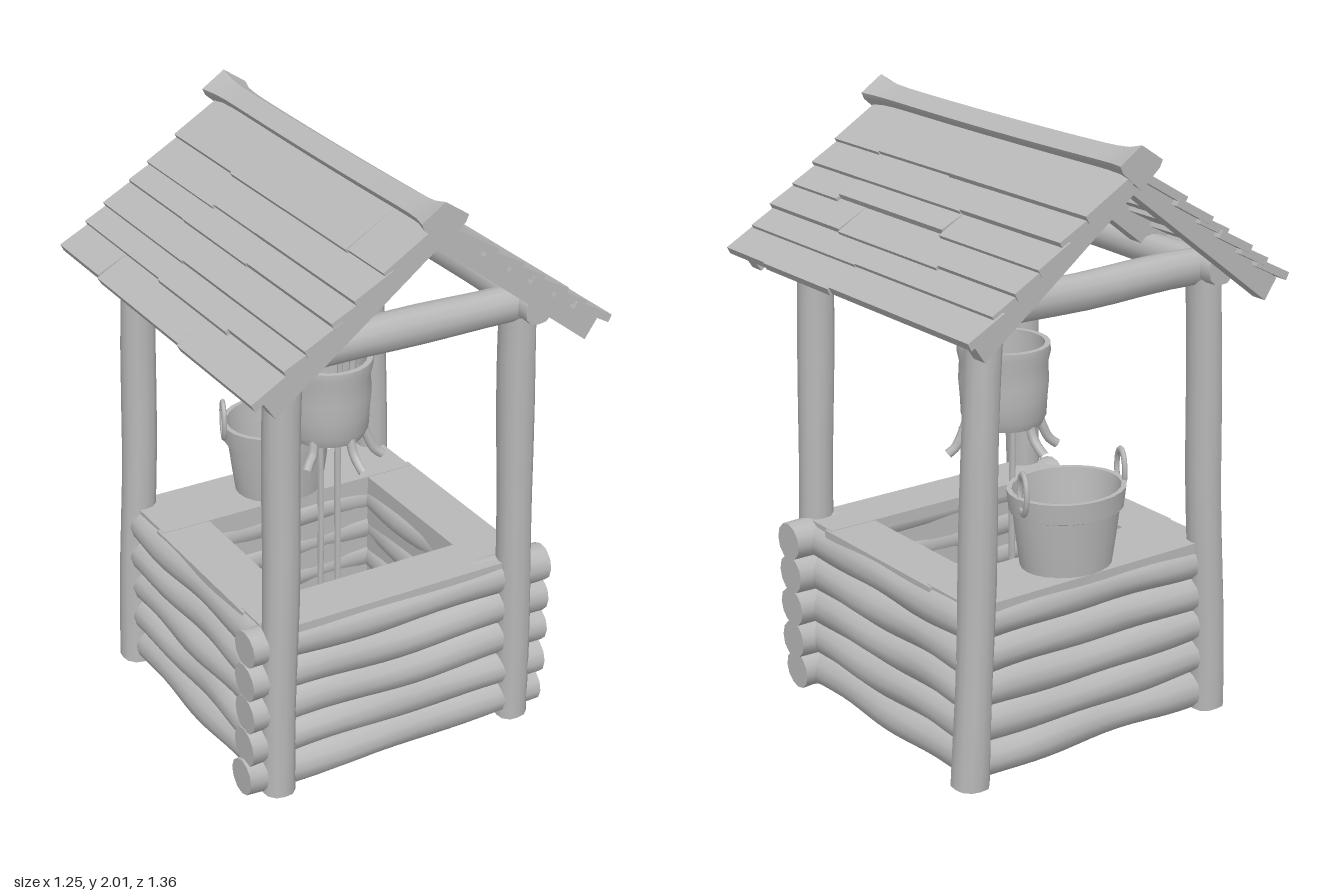
import * as THREE from 'three';
import { mergeVertices, toCreasedNormals } from 'three/addons/utils/BufferGeometryUtils.js';

const wood = new THREE.MeshStandardMaterial({ color: 0xb8b8b8 });
wood.name = 'plain grey';
const V = (x, y, z) => new THREE.Vector3(x, y, z);

let seed = 7;
const rand = () => (seed = (seed * 16807) % 2147483647) / 2147483647;

function add(parent, name, geo) {
  const mesh = new THREE.Mesh(geo, wood);
  mesh.name = name;
  parent.add(mesh);
  return mesh;
}

// weld, then keep only the hard edges sharp
function finish(geo, crease = 0.9) {
  geo.deleteAttribute('uv');
  geo.deleteAttribute('normal');
  return toCreasedNormals(mergeVertices(geo, 1e-4), crease);
}

// uneven hewn log from a to b; square > 0 makes the section boxier
function log(parent, name, a, b, r0, r1 = r0, { square = 0, bump = 0.06, sides = 12, steps = 9 } = {}) {
  const len = a.distanceTo(b), ph = rand() * 6;
  const geo = new THREE.CylinderGeometry(1, 1, len, sides, steps);
  const p = geo.attributes.position;
  for (let i = 0; i < p.count; i++) {
    const t = p.getY(i) / len + 0.5, x = p.getX(i), z = p.getZ(i), ang = Math.atan2(z, x);
    const box = 1 + square * (1 / Math.max(Math.abs(Math.cos(ang)), Math.abs(Math.sin(ang))) - 1);
    const r = (r0 + (r1 - r0) * t) * box * (1 + bump * Math.sin(t * 11 + ph + 2 * Math.cos(ang - ph)));
    const sway = bump * r0 * 1.2 * Math.sin(t * 7 + ph);
    p.setXYZ(i, x * r + sway, p.getY(i), z * r);
  }
  const mesh = add(parent, name, finish(geo));
  mesh.position.copy(a).lerp(b, 0.5);
  mesh.quaternion.setFromUnitVectors(V(0, 1, 0), b.clone().sub(a).normalize());
  return mesh;
}

const rope = (parent, name, pts, r, seg = 16) =>
  add(parent, name, new THREE.TubeGeometry(new THREE.CatmullRomCurve3(pts), seg, r, 7));

// flat board following a sloped line in x-y, its top on the line
function slab(parent, name, x0, y0, x1, y1, thick, z0, z1) {
  const ang = Math.atan2(y1 - y0, x1 - x0), len = Math.hypot(x1 - x0, y1 - y0);
  const geo = new THREE.BoxGeometry(len, thick, z1 - z0);
  geo.translate(len / 2, -thick / 2, 0);
  const mesh = add(parent, name, geo);
  mesh.position.set(x0, y0, (z0 + z1) / 2);
  mesh.rotation.z = ang;
  return mesh;
}

function lathe(points) {
  return finish(new THREE.LatheGeometry(points.map(([x, y]) => new THREE.Vector2(x, y)), 24), 0.8);
}

function buildWalls(group) {
  const walls = new THREE.Group();
  walls.name = 'wellWalls';
  group.add(walls);
  for (let i = 0; i < 5; i++) {
    const y = 0.065 + i * 0.117;
    const j = (rand() - 0.5) * 0.02;
    log(walls, 'frontLog', V(-0.55 + j, y, 0.43), V(0.555 + j, y, 0.43), 0.064, 0.064, { steps: 16 });
    log(walls, 'backLog', V(-0.46, y, -0.45), V(0.46, y, -0.45), 0.064, 0.064, { steps: 16 });
    for (const s of [-1, 1])
      log(walls, 'sideLog', V(s * 0.45, y, -0.46), V(s * 0.45, y, 0.42), 0.064, 0.064, { steps: 16 });
  }
  // wide rim boards around the opening, lining behind the logs
  const box = (name, w, h, d, x, y, z) =>
    add(walls, name, new THREE.BoxGeometry(w, h, d)).position.set(x, y, z);
  box('frontRim', 0.96, 0.04, 0.18, 0, 0.58, 0.385);
  box('backRim', 0.96, 0.04, 0.25, 0, 0.58, -0.375);
  for (const s of [-1, 1]) {
    box('sideRim', 0.18, 0.04, 0.6, s * 0.4, 0.578, 0.02);
    box('sideLining', 0.03, 0.55, 0.84, s * 0.41, 0.285, -0.01);
    box('endLining', 0.82, 0.55, 0.03, 0, 0.285, s * 0.4 - 0.01);
  }
}

function buildFrame(group) {
  const opt = { square: 0.45, bump: 0.035 };
  for (const s of [-1, 1]) {
    log(group, 'frontPost', V(s * 0.447, 0, 0.46), V(s * 0.415, 1.5, 0.46), 0.053, 0.056, opt);
    log(group, 'backPost', V(s * 0.485, 0, -0.485), V(s * 0.425, 1.5, -0.48), 0.056, 0.054, opt);
    log(group, 'crossBeam', V(-0.49, 1.525, s * 0.47), V(0.49, 1.525, s * 0.47), 0.056, 0.056, opt);
    log(group, 'sideBeam', V(s * 0.42, 1.53, -0.57), V(s * 0.42, 1.53, 0.57), 0.048, 0.048, opt);
  }
}

function buildRoof(group) {
  const roof = new THREE.Group();
  roof.name = 'roof';
  group.add(roof);
  // diamond ridge pole, sagging in the middle and swelling at the ends
  const shape = new THREE.Shape([[0, 0.065], [-0.08, 0.012], [-0.07, -0.01], [0, -0.07], [0.07, -0.01], [0.08, 0.012]]
    .map(([x, y]) => new THREE.Vector2(x, y)));
  const ridge = new THREE.ExtrudeGeometry(shape, { depth: 1.355, steps: 24, bevelEnabled: false });
  ridge.translate(0, 0, -0.6775);
  const p = ridge.attributes.position;
  for (let i = 0; i < p.count; i++) {
    const e = Math.abs(p.getZ(i)) / 0.6775, k = 0.7 + 0.3 * Math.pow(e, 14);
    p.setXY(i, p.getX(i) * k, 1.928 + 0.007 * e * e + p.getY(i) * k);
  }
  add(roof, 'ridgePole', finish(ridge, 0.6));

  // overlapping rows of shingle boards, each split at uneven breaks
  const edges = [0.03, 0.19, 0.285, 0.36, 0.45, 0.52, 0.615];
  const top = x => 1.945 - 0.725 * x;
  for (const s of [-1, 1]) {
    for (let i = 0; i < edges.length - 1; i++) {
      const a = Math.max(0.02, edges[i] - 0.03), b = edges[i + 1];
      let z = -0.66 - rand() * 0.012;
      const end = 0.655 + rand() * 0.012;
      while (z < end) {
        let next = z + 0.25 + rand() * 0.5;
        if (end - next < 0.18) next = end;
        const lift = rand() * 0.008, slip = rand() * 0.012;
        slab(roof, 'shingleBoard', s * a, top(a) - 0.012, s * (b + slip), top(b + slip) + 0.008 + lift,
          s * 0.026, z, next).scale.set(1, 1, 1);
        z = next;
      }
    }
    // rafters under the boards
    for (const z of [-0.615, -0.21, 0.21, 0.615]) {
      const outer = Math.abs(z) > 0.5, x1 = outer ? 0.585 : 0.5;
      const rafter = new THREE.Shape([[0, 1.92], [x1, top(x1) - 0.025], [x1 - 0.045, top(x1) - 0.09], [0, 1.845]]
        .map(([x, y]) => new THREE.Vector2(s * x, y)));
      const geo = new THREE.ExtrudeGeometry(rafter, { depth: 0.055, bevelEnabled: false });
      geo.translate(0, 0, z - 0.0275);
      add(roof, 'rafter', geo);
    }
  }
  // left-side boards are laid from the ridge outward, so flip their thickness below the line
  roof.children.filter(m => m.name === 'shingleBoard' && m.position.x < 0).forEach(m => {
    const g = m.geometry, size = g.parameters;
    m.geometry = new THREE.BoxGeometry(size.width, 0.026, size.depth).translate(size.width / 2, 0.013, 0);
  });
}

function buildBucket(group) {
  const bucket = new THREE.Group();
  bucket.name = 'standingBucket';
  bucket.position.set(0.02, 0.6, -0.365);
  group.add(bucket);
  const body = add(bucket, 'bucketBody', lathe([[0, 0], [0.155, 0], [0.168, 0.09], [0.18, 0.185], [0.192, 0.19],
    [0.2, 0.258], [0.182, 0.258], [0.165, 0.15], [0.145, 0.03], [0, 0.03]]));
  body.scale.z = 0.87;
  for (const s of [-1, 1]) {
    const ear = add(bucket, 'bucketHandle', new THREE.TorusGeometry(0.042, 0.009, 7, 18));
    ear.scale.y = 1.5;
    ear.rotation.y = 1.2;
    ear.position.set(s * 0.195, 0.28, -0.03);
  }
}

function buildHoist(group) {
  const hoist = new THREE.Group();
  hoist.name = 'hoist';
  group.add(hoist);
  // twisted rope from the ridge
  for (const k of [0, Math.PI]) {
    const pts = [];
    for (let i = 0; i <= 20; i++)
      pts.push(V(0.02 + 0.009 * Math.cos(i * 1.1 + k), 1.88 - i * 0.0245, 0.009 * Math.sin(i * 1.1 + k)));
    rope(hoist, 'hangingRope', pts, 0.008, 60);
  }
  // spool
  const spool = add(hoist, 'spool', lathe([[0, -0.092], [0.032, -0.092], [0.052, -0.07], [0.05, -0.045], [0.036, -0.02],
    [0.036, 0.02], [0.05, 0.045], [0.052, 0.07], [0.032, 0.092], [0, 0.092]]));
  spool.rotation.z = Math.PI / 2;
  spool.position.set(0.02, 1.37, 0);
  rope(hoist, 'spoolLoop', [V(0.02, 1.42, 0.02), V(0.02, 1.38, 0.055), V(0.02, 1.24, 0.05), V(0.02, 1.1, 0.05)], 0.01);
  rope(hoist, 'hook', [V(0.1, 1.33, 0), V(0.1, 1.28, 0.015), V(0.1, 1.22, 0), V(0.09, 1.1, 0)], 0.012);
  rope(hoist, 'knot', [V(0.02, 1.33, 0.02), V(0.03, 1.28, 0.025), V(0.02, 1.26, 0), V(0.02, 1.3, -0.015)], 0.01);

  // wrapped pail, open at the top
  const pail = add(hoist, 'hangingPail', lathe([[0, 0.97], [0.125, 0.97], [0.138, 1.0], [0.141, 1.06], [0.146, 1.12], [0.143, 1.18],
    [0.151, 1.215], [0.15, 1.24], [0.132, 1.24], [0.128, 1.08], [0, 1.07]]));
  pail.scale.z = 1.04;
  pail.position.z = -0.005;
  // splayed straps
  for (let i = 0; i < 6; i++) {
    const a = i * Math.PI / 3 + 0.35, c = Math.cos(a), n = Math.sin(a), low = 0.87 + (i % 3) * 0.02;
    rope(hoist, 'splayedStrap', [V(c * 0.115, 1.0, n * 0.115), V(c * 0.135, 0.94, n * 0.135),
      V(c * 0.16, low + 0.02, n * 0.16), V(c * 0.185, low, n * 0.185)], 0.016, 10);
  }
  // long rods down to the crossed foot
  for (const [x, z] of [[0.012, 0.05], [0.028, -0.09]])
    log(hoist, 'rod', V(x, 0.07, z), V(x, 0.99, z), 0.011, 0.011, { sides: 8 });
  for (const s of [-1, 1]) {
    const a = V(-0.3, 0.06, -0.3 * s), b = V(0.3, 0.06, 0.3 * s);
    log(hoist, 'crossFoot', a, b, 0.013, 0.013, { sides: 8 });
    for (const e of [a, b]) add(hoist, 'footKnob', new THREE.SphereGeometry(0.02, 10, 8)).position.copy(e);
  }
}

export function createModel() {
  const group = new THREE.Group();
  group.name = 'well';
  seed = 7;
  buildWalls(group);
  buildFrame(group);
  buildRoof(group);
  buildBucket(group);
  buildHoist(group);
  return group;
}
